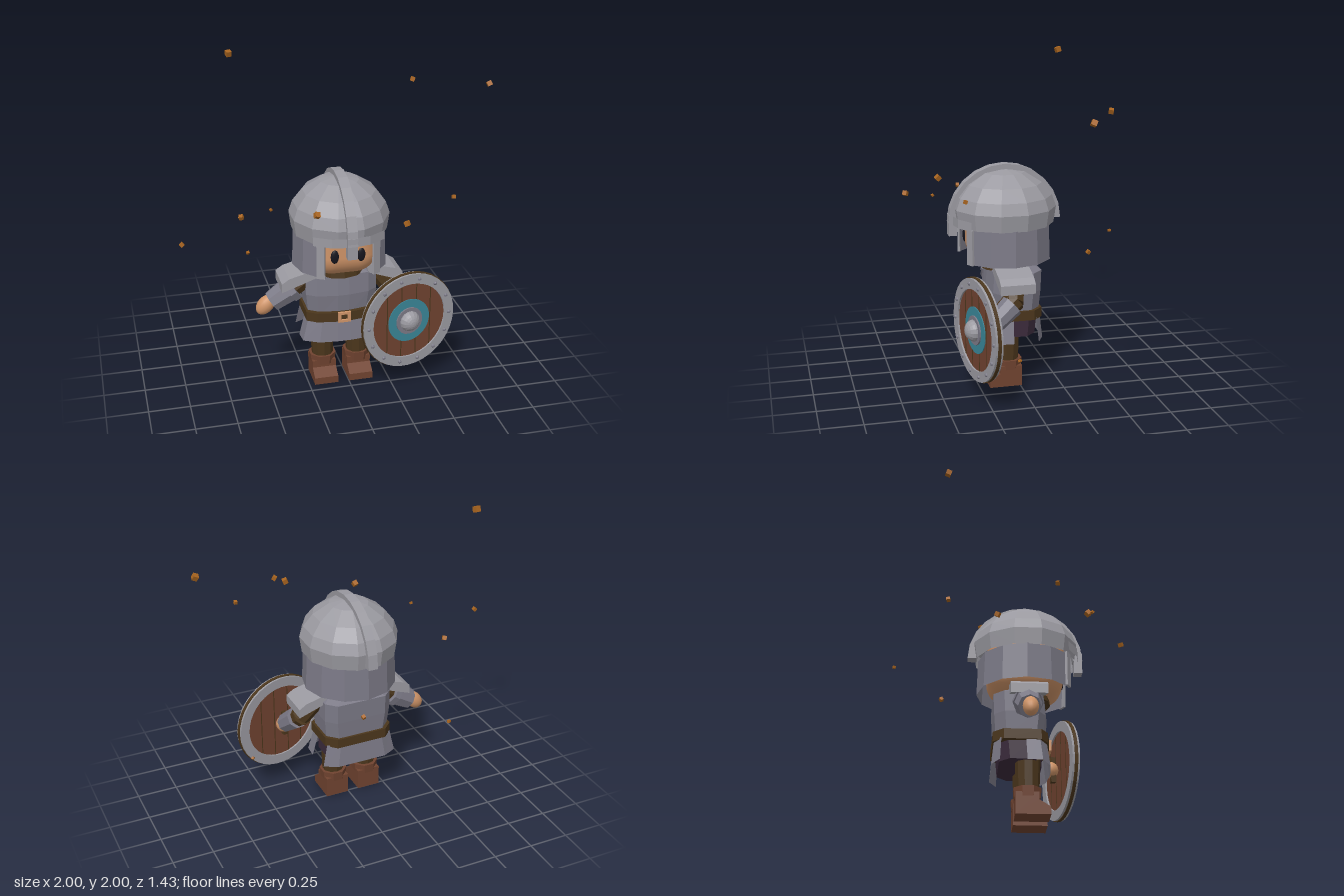
import * as THREE from 'three';
import { RoundedBoxGeometry } from 'three/addons/geometries/RoundedBoxGeometry.js';

const mat = (name, color, flatShading = true) =>
  Object.assign(new THREE.MeshStandardMaterial({ color, flatShading, side: THREE.DoubleSide }), { name });
const STEEL = mat('steel', 0x9b9aa1), IRON = mat('darkSteel', 0x7c7a87), SKIN = mat('skin', 0xcf9468, false);
const EYE = mat('eyeBlack', 0x15151e, false), LEATHER = mat('darkLeather', 0x4b361c), WOOD = mat('redBrown', 0x704330);
const TEAL = mat('teal', 0x3a8698), EMBER = mat('ember', 0xa8641f), TUNIC = mat('tunic', 0x3b2b3c);

function add(parent, name, geo, material, pos = [0, 0, 0], rot = [0, 0, 0]) {
  const m = new THREE.Mesh(geo, material);
  m.name = name;
  m.position.set(...pos);
  m.rotation.set(...rot);
  parent.add(m);
  return m;
}

// Skin between rings of points [x, y, z]; closed rings also get caps
function loft(rings, closed = true) {
  const n = rings[0].length, idx = [];
  for (let r = 0; r < rings.length - 1; r++)
    for (let i = 0; i < (closed ? n : n - 1); i++) {
      const a = r * n + i, b = r * n + (i + 1) % n;
      idx.push(a, b, b + n, a, b + n, a + n);
    }
  if (closed) {
    const t = (rings.length - 1) * n;
    for (let i = 1; i < n - 1; i++) idx.push(0, i + 1, i, t, t + i, t + i + 1);
  }
  const g = new THREE.BufferGeometry();
  g.setAttribute('position', new THREE.Float32BufferAttribute(rings.flat(2), 3));
  g.setIndex(idx);
  g.computeVertexNormals();
  return g;
}

// Chamfered body section: half width, back z, front z, chamfer
const section = (y, w, zb, zf, c = 0.06) => [
  [-w, zb + c], [-w, zf - c], [-w + c, zf - 0.02], [-0.035, zf], [0.035, zf], [w - c, zf - 0.02],
  [w, zf - c], [w, zb + c], [w - c, zb], [-w + c, zb],
].map(([x, z]) => [x, y, z]);

// Tapered limb from a to b
function limb(parent, name, a, b, ra, rb, material, sides = 8) {
  const A = new THREE.Vector3(...a), B = new THREE.Vector3(...b), d = B.clone().sub(A);
  const m = add(parent, name, new THREE.CylinderGeometry(rb, ra, d.length(), sides), material);
  m.position.copy(A).add(B).multiplyScalar(0.5);
  m.quaternion.setFromUnitVectors(new THREE.Vector3(0, 1, 0), d.normalize());
  return m;
}

// Extrude a polygon by a centred depth
function slab(points, depth, holes = []) {
  const s = new THREE.Shape(points.map(p => new THREE.Vector2(...p)));
  s.holes = holes;
  return new THREE.ExtrudeGeometry(s, { depth, bevelEnabled: false, curveSegments: 32 }).translate(0, 0, -depth / 2);
}

function ringSlab(outer, inner, depth) {
  const s = new THREE.Shape().absarc(0, 0, outer, 0, Math.PI * 2);
  s.holes.push(new THREE.Path().absarc(0, 0, inner, 0, Math.PI * 2, true));
  return new THREE.ExtrudeGeometry(s, { depth, bevelEnabled: false, curveSegments: 18 }).translate(0, 0, -depth / 2);
}

function buildHead() {
  const head = new THREE.Group();
  head.name = 'head';
  head.position.z = 0.06;
  add(head, 'face', new RoundedBoxGeometry(0.42, 0.42, 0.46, 5, 0.14), SKIN, [0, 0.962, 0]);
  for (const s of [-1, 1]) {
    add(head, 'eye', new THREE.SphereGeometry(1, 16, 12), EYE, [s * 0.08, 0.91, 0.228]).scale.set(0.025, 0.043, 0.012);
    add(head, 'cheekGuard', new THREE.BoxGeometry(0.05, 0.215, 0.015), STEEL, [s * 0.167, 0.893, 0.242], [0, s * 0.5, 0]);
  }

  // Helmet dome
  const profile = [[0.288, 1.0], [0.302, 1.1], [0.278, 1.17], [0.22, 1.245], [0.12, 1.31], [0, 1.335]]
    .map(p => new THREE.Vector2(...p));
  add(head, 'helmetDome', new THREE.LatheGeometry(profile, 12, Math.PI / 12), STEEL).scale.z = 1.05;
  const gap = 0.56;
  add(head, 'neckGuard', new THREE.CylinderGeometry(0.282, 0.29, 0.22, 10, 1, true, gap, Math.PI * 2 - gap * 2),
    IRON, [0, 0.895, 0]);
  add(head, 'brow', new THREE.CylinderGeometry(0.325, 0.325, 0.055, 4, 1, true, -0.72, 1.44), STEEL, [0, 1.03, 0]);
  add(head, 'noseGuard', new THREE.BoxGeometry(0.06, 0.13, 0.05), STEEL, [0, 1.0, 0.32]);

  // Crest over the dome, front to back
  const arc = r => Array.from({ length: 13 }, (_, i) =>
    [r * Math.cos(i * Math.PI / 12), 1.015 + r * Math.sin(i * Math.PI / 12)]);
  add(head, 'crest', slab([...arc(0.347), ...arc(0.29).reverse()], 0.06).rotateY(-Math.PI / 2), STEEL);
  return head;
}

function buildBody() {
  const body = new THREE.Group();
  body.name = 'body';
  body.position.x = -0.033;
  body.add(buildHead());
  add(body, 'collar', new THREE.CylinderGeometry(0.15, 0.16, 0.07, 12), LEATHER, [0, 0.76, 0.05]);
  add(body, 'breastplate', loft([section(0.46, 0.205, -0.12, 0.17), section(0.6, 0.22, -0.13, 0.185),
    section(0.725, 0.22, -0.135, 0.175), section(0.755, 0.17, -0.09, 0.14)]), IRON);
  add(body, 'belt', loft([section(0.43, 0.222, -0.137, 0.198), section(0.49, 0.222, -0.137, 0.198)]), LEATHER);
  add(body, 'buckle', slab([[-0.04, -0.033], [0.04, -0.033], [0.04, 0.033], [-0.04, 0.033]], 0.016,
    [new THREE.Path([[-0.02, -0.018], [-0.02, 0.018], [0.02, 0.018], [0.02, -0.018]].map(p => new THREE.Vector2(...p)))]),
  SKIN, [0, 0.462, 0.203]);
  add(body, 'tunic', loft([section(0.32, 0.195, -0.1, 0.15), section(0.44, 0.195, -0.11, 0.16)]), TUNIC);

  // Flared skirt plates
  const skirt = (name, pts, flare) => add(body, name,
    loft([pts.map(([x, z]) => [x * flare, 0.297, z * 1.1]), pts.map(([x, z]) => [x, 0.44, z])], false), IRON);
  skirt('frontSkirt', [[-0.215, 0.05], [-0.21, 0.13], [-0.13, 0.175], [-0.035, 0.185], [0.035, 0.185],
    [0.13, 0.175], [0.21, 0.13], [0.215, 0.05]], 1.17);
  skirt('backSkirt', [[0.215, -0.09], [0.14, -0.13], [-0.14, -0.13], [-0.215, -0.09]], 1.14);

  for (const s of [-1, 1]) {
    // Legs and boots
    const x = s * 0.11;
    add(body, 'leg', new THREE.CylinderGeometry(0.075, 0.066, 0.24, 10), LEATHER, [x, 0.25, 0.065]);
    add(body, 'boot', slab([[-0.01, 0], [0.19, 0], [0.19, 0.045], [0.125, 0.085], [0.125, 0.13], [-0.01, 0.13]], 0.148)
      .rotateY(-Math.PI / 2), WOOD, [x, 0, 0]);
    add(body, 'bootCuff', new THREE.CylinderGeometry(0.086, 0.08, 0.06, 8, 1, false, Math.PI / 8), WOOD, [x, 0.135, 0.062]);
    // Shoulder plates
    add(body, 'pauldron', slab([[0.14, 0.785], [0.33, 0.735], [0.375, 0.705], [0.375, 0.648], [0.16, 0.725]]
      .map(([px, py]) => [s * px, py]), 0.21), STEEL, [0, 0, 0.06]);
  }
  return body;
}

function buildArms() {
  const arms = new THREE.Group();
  arms.name = 'arms';
  // Right arm, held out to the side
  limb(arms, 'rightSleeve', [-0.22, 0.7, 0.05], [-0.4, 0.57, 0.055], 0.065, 0.06, LEATHER);
  limb(arms, 'rightBracer', [-0.33, 0.625, 0.055], [-0.455, 0.545, 0.055], 0.082, 0.066, IRON);
  limb(arms, 'rightBracerCuff', [-0.315, 0.635, 0.055], [-0.35, 0.61, 0.055], 0.09, 0.088, IRON);
  add(arms, 'rightHand', new THREE.SphereGeometry(1, 16, 12), SKIN, [-0.492, 0.53, 0.058], [0, 0, -0.75])
    .scale.set(0.05, 0.072, 0.045);
  // Left arm, reaching forward to the shield
  limb(arms, 'leftSleeve', [0.2, 0.7, 0.05], [0.29, 0.585, 0.08], 0.065, 0.065, LEATHER);
  limb(arms, 'leftForearm', [0.28, 0.6, 0.065], [0.325, 0.475, 0.215], 0.066, 0.058, LEATHER);
  limb(arms, 'leftBracer', [0.306, 0.575, 0.09], [0.34, 0.485, 0.2], 0.07, 0.06, IRON);
  add(arms, 'leftHand', new THREE.SphereGeometry(0.052, 16, 12), SKIN, [0.335, 0.455, 0.24]);
  return arms;
}

function buildShield() {
  const shield = new THREE.Group();
  shield.name = 'shield';
  shield.position.set(0.337, 0.452, 0.305);
  shield.rotation.y = 0.21;
  const disc = (name, r, depth, z, m, n = 36) =>
    add(shield, name, new THREE.CylinderGeometry(r, r, depth, n).rotateX(Math.PI / 2), m, [0, 0, z]);
  disc('planks', 0.26, 0.024, 0, WOOD);
  add(shield, 'rim', ringSlab(0.308, 0.245, 0.046), STEEL);
  add(shield, 'rimEdge', ringSlab(0.313, 0.3, 0.02), LEATHER);
  for (const x of [-0.147, -0.05, 0.05, 0.147])
    add(shield, 'plankSeam', new THREE.BoxGeometry(0.006, 2 * Math.sqrt(0.245 ** 2 - x * x), 0.027), LEATHER, [x, 0, 0]);
  disc('paintedRing', 0.14, 0.008, 0.013, TEAL);
  disc('bossBase', 0.088, 0.016, 0.018, IRON, 18);
  add(shield, 'boss', new THREE.SphereGeometry(0.066, 14, 6, 0, Math.PI * 2, 0, Math.PI / 2).rotateX(Math.PI / 2),
    STEEL, [0, 0, 0.02]).scale.z = 0.9;
  for (let i = 0; i < 14; i++) {
    const a = (i + 0.5) * Math.PI / 7;
    add(shield, 'rivet', new THREE.SphereGeometry(0.012, 8, 6), IRON, [0.276 * Math.sin(a), 0.276 * Math.cos(a), 0.022]);
  }
  add(shield, 'handle', new THREE.BoxGeometry(0.03, 0.16, 0.03), LEATHER, [0, 0, -0.05]);
  return shield;
}

export function createModel() {
  const model = new THREE.Group();
  model.name = 'shieldWarrior';
  model.add(buildBody(), buildArms(), buildShield());

  // Drifting embers: x, y, z, size
  const embers = [
    [-0.59, 1.975, -0.43, 0.032], [0.557, 1.745, -0.413, 0.026], [0.977, 1.752, -0.18, 0.03],
    [-0.247, 1.245, 0.425, 0.03], [0.198, 1.26, 0.69, 0.026], [0.56, 1.275, 0.413, 0.02],
    [-0.985, 1.03, 0.165, 0.022], [-0.64, 1.045, 0.395, 0.015], [-0.594, 1.038, -0.133, 0.026],
    [-0.31, 0.825, -0.71, 0.015], [0.102, 0.81, -0.438, 0.021], [0.598, 0.34, 0.115, 0.015],
  ];
  embers.forEach(([x, y, z, s], i) =>
    add(model, 'ember', new THREE.BoxGeometry(s, s, s), EMBER, [x, y, z], [0.3 + i * 0.7, 0.2 + i * 0.9, i * 0.5]));
  return model;
}
